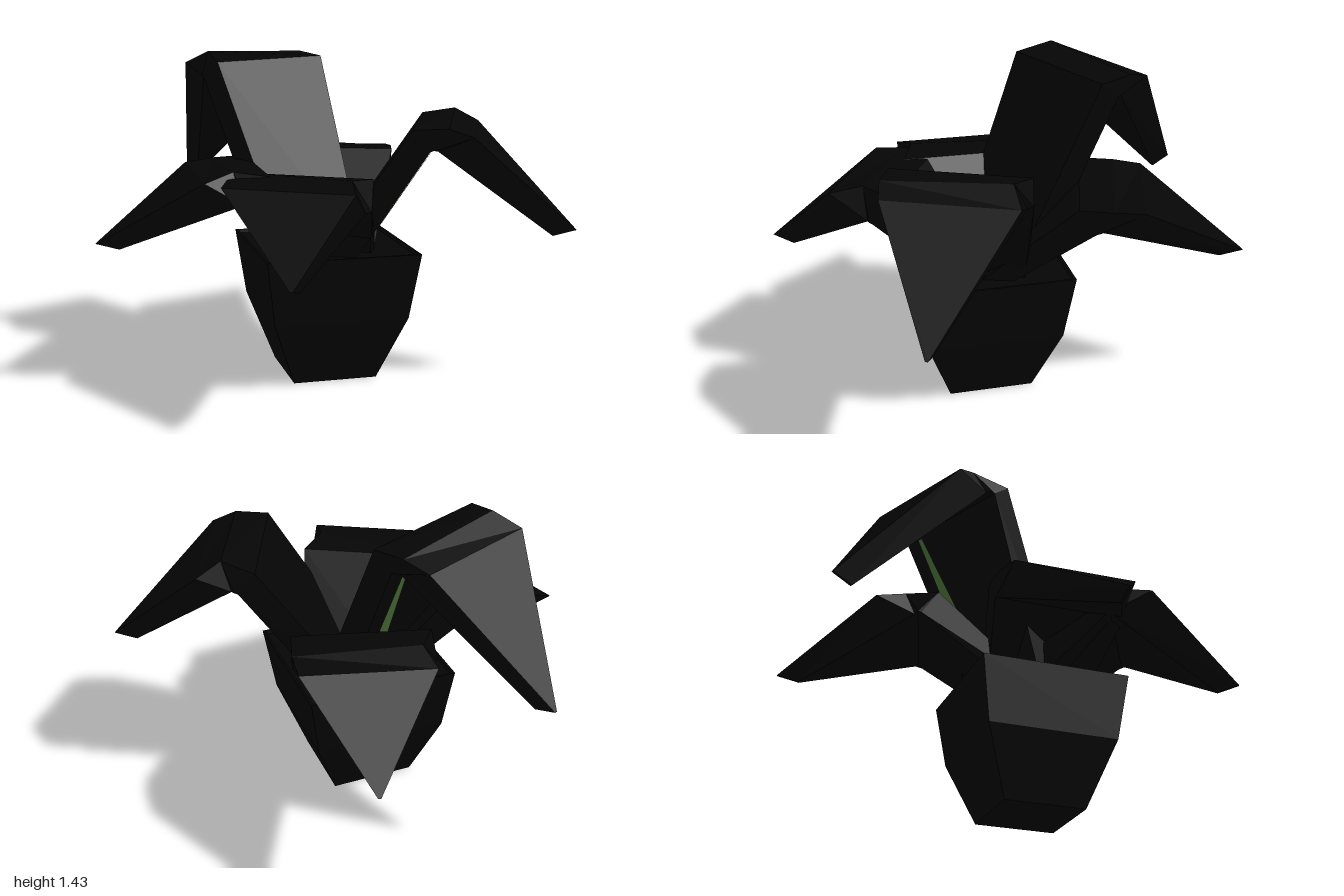
import * as THREE from 'three';

const dark = new THREE.MeshStandardMaterial({ color: 0x050505, flatShading: true, side: THREE.DoubleSide });
const green = new THREE.MeshStandardMaterial({ color: 0x55803f, flatShading: true, side: THREE.DoubleSide });

function mesh(name, geometry, material) {
  const m = new THREE.Mesh(geometry, material);
  m.name = name;
  return m;
}

// Flat-shaded geometry from a list of four-cornered faces
function fromQuads(quads) {
  const pos = [];
  for (const [a, b, c, d] of quads) for (const p of [a, b, c, a, c, d]) pos.push(...p);
  const g = new THREE.BufferGeometry();
  g.setAttribute('position', new THREE.Float32BufferAttribute(pos, 3));
  g.computeVertexNormals();
  return g;
}

// Thick leaf growing along local +x: rising stem, rounded bend, pointed drooping tip
function makeLeaf({ name, angle, base, inner, peak, outer, under, tip, tipShift = 0, striped = false }) {
  // upper r, upper y, lower r, lower y, half width, inset of one upper corner, sideways shift, roll
  const rows = [
    [base[0], 0.5, base[1], 0.5, 0.21, 0, 0, 0],
    [...inner, under[0] - 0.015, under[1] - 0.005, 0.305, 0.015, 0, 0],
    [...peak, ...under, 0.305, 0.07, 0, 0.012],
    [...outer, under[0] + 0.015, under[1] - 0.005, 0.283, 0, 0, 0],
    [...tip, tip[0] - 0.1, tip[1] - 0.03, 0.006, 0, tipShift, 0],
  ];
  const s = rows.map(([ur, uy, lr, ly, w, inset, z, roll]) => [
    [ur, uy - roll, z + w], [ur, uy + roll, z - w + inset], [lr, ly, z - w], [lr, ly, z + w],
  ]);
  const last = s.length - 1;
  const quads = [[...s[0]], [...s[last]].reverse()];
  for (let i = 0; i < last; i++) {
    for (let k = 0; k < 4; k++) {
      const n = (k + 1) % 4;
      quads.push([s[i][k], s[i + 1][k], s[i + 1][n], s[i][n]]);
    }
  }
  const leaf = new THREE.Group();
  leaf.name = name;
  leaf.add(mesh('leafBlade', fromQuads(quads), dark));

  // Tapering green strip under the stem, near one edge
  if (striped) {
    const onUnderside = (t, z) => [
      THREE.MathUtils.lerp(base[1], under[0] - 0.015, t) + 0.005,
      THREE.MathUtils.lerp(0.5, under[1] - 0.005, t) - 0.003,
      z,
    ];
    const strip = [onUnderside(0.29, 0.08), onUnderside(0.98, 0.2), onUnderside(0.98, 0.225), onUnderside(0.41, 0.175)];
    leaf.add(mesh('stemStripe', fromQuads([strip]), green));
  }

  leaf.rotation.y = THREE.MathUtils.degToRad(angle);
  return leaf;
}

export function createModel() {
  const model = new THREE.Group();
  model.name = 'pottedPlant';

  // Everything grows around the pot's axis, which sits off centre
  const plant = new THREE.Group();
  plant.name = 'plant';
  plant.position.set(0.14, 0, -0.07);
  model.add(plant);

  // Square pot with a flared lower half, closed bottom and soil just below the rim
  const pot = new THREE.Group();
  pot.name = 'pot';
  const profile = [[0, 0], [0.268, 0], [0.427, 0.3], [0.486, 0.595], [0.47, 0.595], [0.465, 0.575]];
  const points = profile.map(([r, y]) => new THREE.Vector2(r, y));
  pot.add(mesh('potBody', new THREE.LatheGeometry(points, 4), dark));
  const soil = mesh('soil', new THREE.CircleGeometry(0.468, 4, Math.PI / 2).rotateX(-Math.PI / 2), dark);
  soil.position.y = 0.58;
  pot.add(soil);
  pot.rotation.y = THREE.MathUtils.degToRad(18);
  plant.add(pot);

  // Five leaves of different height; points are [distance from axis, height],
  // base holds the distances of the stem's upper and lower side
  const leaves = [
    { name: 'tallLeaf', angle: 176.4, base: [-0.03, 0.12], inner: [0.42, 1.39], peak: [0.58, 1.415],
      outer: [0.7, 1.37], under: [0.53, 1.32], tip: [1.14, 0.8], striped: true },
    { name: 'backLeftLeaf', angle: 39.5, base: [-0.03, 0.12], inner: [0.41, 1.155], peak: [0.56, 1.175],
      outer: [0.665, 1.125], under: [0.5, 1.07], tip: [1.11, 0.69], striped: true },
    { name: 'backRightLeaf', angle: 136, base: [-0.07, 0.05], inner: [0.43, 0.955], peak: [0.58, 0.96],
      outer: [0.71, 0.935], under: [0.52, 0.85], tip: [1.16, 0.65] },
    { name: 'frontRightLeaf', angle: 242, base: [-0.1, 0], inner: [0.31, 0.955], peak: [0.46, 0.96],
      outer: [0.59, 0.935], under: [0.41, 0.84], tip: [1.03, 0.65], tipShift: -0.05 },
    { name: 'frontLeftLeaf', angle: -57, base: [-0.1, 0], inner: [0.31, 0.95], peak: [0.46, 0.955],
      outer: [0.6, 0.935], under: [0.41, 0.83], tip: [0.96, 0.62], tipShift: -0.12 },
  ];
  for (const leaf of leaves) plant.add(makeLeaf(leaf));

  return model;
}
